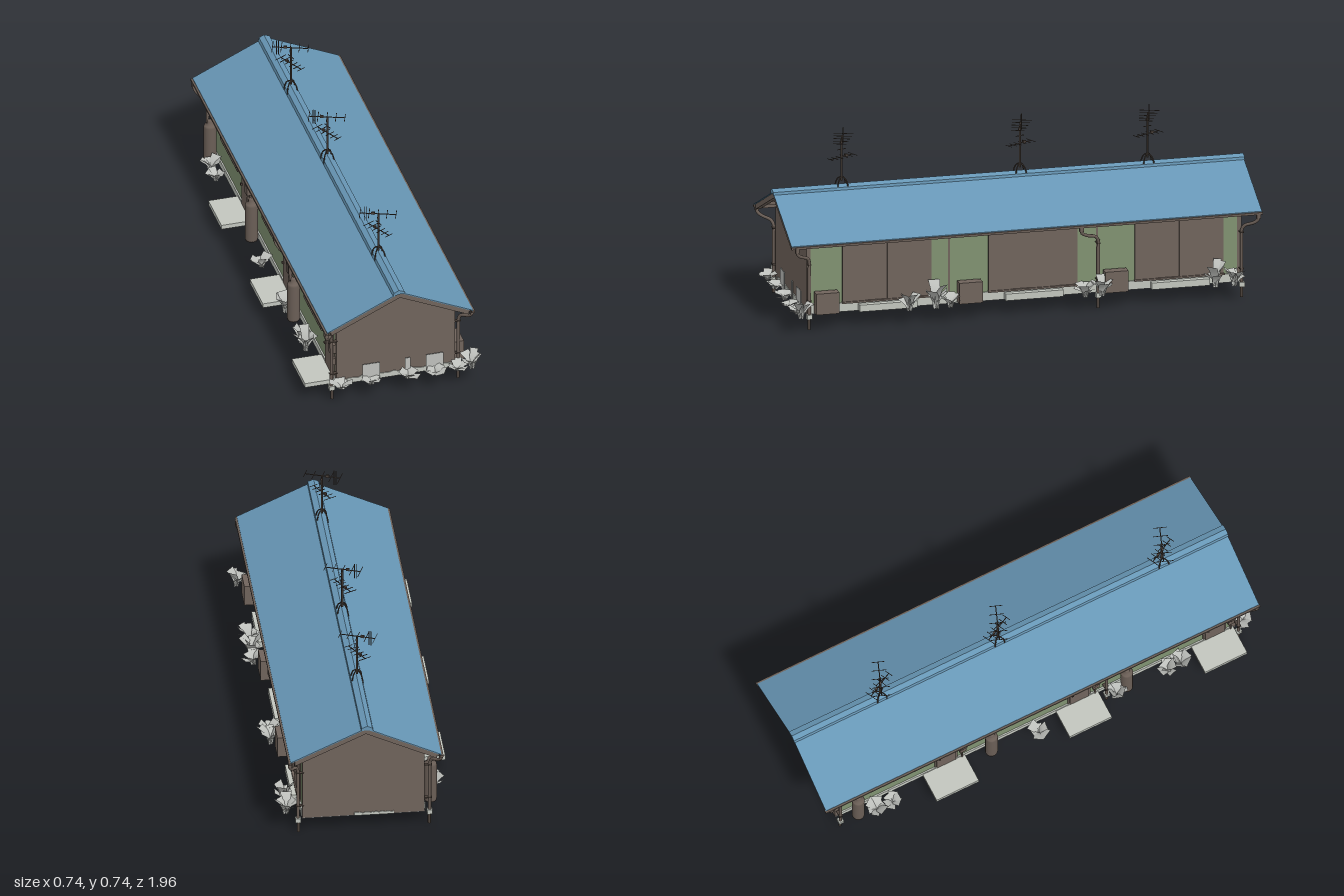
import * as THREE from 'three';

const mat = (name, color, side = THREE.FrontSide) => {
  const m = new THREE.MeshStandardMaterial({ color, side });
  m.name = name;
  return m;
};

export function createModel() {
  const M = {
    roof: mat('roof blue', 0x6796b5),
    wall: mat('wall brown', 0x70645c),
    green: mat('panel green', 0x809271),
    concrete: mat('pale concrete', 0xc2c6be),
    leaf: mat('leaf grey', 0xbec0bc, THREE.DoubleSide),
    floor: mat('floor grey', 0xa0a0a0),
    metal: mat('dark metal', 0x4c423b),
    pipe: mat('pipe brown', 0x6a5e56),
  };
  const root = new THREE.Group();
  root.name = 'rowHouse';

  const add = (name, geo, m, parent = root) => {
    const mesh = new THREE.Mesh(geo, m);
    mesh.name = name;
    parent.add(mesh);
    return mesh;
  };
  const group = (name, parent = root) => {
    const g = new THREE.Group();
    g.name = name;
    parent.add(g);
    return g;
  };
  // Box given by its limits
  const box = (name, m, x0, x1, y0, y1, z0, z1, parent) => {
    const b = add(name, new THREE.BoxGeometry(x1 - x0, y1 - y0, z1 - z0), m, parent);
    b.position.set((x0 + x1) / 2, (y0 + y1) / 2, (z0 + z1) / 2);
    return b;
  };
  // Prism along z from an outline in x and y
  const prism = (name, m, pts, z0, z1, parent) => {
    const shape = new THREE.Shape(pts.map(p => new THREE.Vector2(...p)));
    const geo = new THREE.ExtrudeGeometry(shape, { depth: z1 - z0, bevelEnabled: false });
    return add(name, geo.translate(0, 0, z0), m, parent);
  };
  const V = (x, y, z) => new THREE.Vector3(x, y, z);
  const rod = (name, m, a, b, r, parent) => {
    const mesh = add(name, new THREE.CylinderGeometry(r, r, a.distanceTo(b), 8), m, parent);
    mesh.position.copy(a).add(b).multiplyScalar(0.5);
    mesh.quaternion.setFromUnitVectors(V(0, 1, 0), b.clone().sub(a).normalize());
    return mesh;
  };
  // Seeded random numbers
  let seed = 11;
  const rand = (lo, hi) => {
    seed = (seed * 16807) % 2147483647;
    return lo + ((hi - lo) * seed) / 2147483647;
  };

  // Shell: floor, green long walls, brown gable ends
  const shell = group('shell');
  box('floor', M.floor, -0.247, 0.25, 0.06, 0.066, -0.912, 0.892, shell);
  box('longWalls', M.green, -0.244, 0.247, 0.066, 0.37, -0.9, 0.88, shell);
  const gable = [[-0.245, 0.064], [0.25, 0.064], [0.25, 0.368], [0, 0.49], [-0.245, 0.368]];
  prism('frontGable', M.wall, gable, 0.875, 0.893, shell);
  prism('backGable', M.wall, gable, -0.914, -0.896, shell);
  box('foundationRight', M.concrete, 0.24, 0.253, 0.062, 0.097, -0.895, 0.874, shell);
  box('foundationLeft', M.concrete, -0.25, -0.24, 0.062, 0.09, -0.895, 0.874, shell);
  // Ragged pale footing showing at the foot of the gables
  const ragged = (x0, x1, height, z) => {
    const pts = [[x1, 0.062], [x0, 0.062]];
    for (let i = 0; i <= 24; i++)
      pts.push([x0 + ((x1 - x0) * i) / 24, 0.064 + height * rand(0.6, 1)]);
    prism('raggedFooting', M.concrete, pts, z, z + 0.004, shell);
  };
  ragged(-0.21, 0.235, 0.028, 0.892);
  ragged(-0.12, 0.04, 0.013, -0.917);

  // Roof: thin blue skin over a brown deck, with barge boards, purlins, ridge cap and gutters
  const roof = group('roof');
  const vee = (w, eave, apex, t) => [
    [-w, eave], [0, apex], [w, eave], [w, eave - t], [0, apex - t], [-w, eave - t],
  ].reverse();
  prism('roofSkin', M.roof, vee(0.305, 0.366, 0.507, 0.004), -0.985, 0.968, roof);
  prism('roofDeck', M.wall, vee(0.296, 0.3665, 0.503, 0.01), -0.98, 0.963, roof);
  for (const z of [-0.982, 0.945])
    prism('bargeBoard', M.wall, vee(0.288, 0.369, 0.502, 0.022), z, z + 0.02, roof);
  prism('ridgeCap', M.roof, [[-0.03, 0.494], [0, 0.5], [0.02, 0.496], [0.018, 0.509], [-0.006, 0.518], [-0.026, 0.508]],
    -0.987, 0.97, roof);
  for (const s of [-1, 1]) {
    for (const x of [0.08, 0.16, 0.24]) {
      const y = 0.488 - x * 0.462;
      for (const [z0, z1] of [[-0.965, -0.91], [0.89, 0.95]])
        box('purlin', M.wall, s * x - 0.01, s * x + 0.01, y - 0.009, y + 0.007, z0, z1, roof);
    }
    box('gutter', M.pipe, s * 0.306 - 0.007, s * 0.306 + 0.007, 0.354, 0.363, -0.988, 0.97, roof);
  }

  // Garden side: sliding doors with a step, and a cooling unit for each home
  const garden = group('gardenSide');
  for (const z of [0.558, -0.048, -0.655]) {
    const doors = group('slidingDoors', garden);
    for (let i = 0; i < 4; i++) {
      const z0 = z - 0.185 + i * 0.0925;
      box('doorPanel', M.wall, 0.24, i % 2 ? 0.255 : 0.251, 0.1, 0.358, z0, z0 + 0.0925, doors);
    }
    box('doorSill', M.wall, 0.24, 0.26, 0.095, 0.102, z - 0.187, z + 0.187, doors);
    box('doorStep', M.concrete, 0.245, 0.278, 0.062, 0.09, z - 0.12, z + 0.12, doors);
  }
  for (const z of [0.815, 0.22, -0.385])
    box('coolingUnit', M.wall, 0.255, 0.297, 0.068, 0.156, z - 0.048, z + 0.048, garden);
  for (const z of [0.3, -0.315])
    box('partyWallSeam', M.wall, 0.245, 0.249, 0.097, 0.358, z - 0.004, z + 0.004, garden);

  // Entrance side: door, slab, window with awning, gas bottle and meters for each home
  const entrance = group('entranceSide');
  const bottle = [[0, 0], [0.025, 0], [0.026, 0.008], [0.026, 0.165], [0.023, 0.174], [0.013, 0.178],
    [0.012, 0.192], [0.009, 0.198], [0, 0.198]].map(p => new THREE.Vector2(...p));
  for (const z of [-0.425, 0.175, 0.785]) {
    const home = group('entrance', entrance);
    box('entranceSlab', M.concrete, -0.373, -0.244, 0.062, 0.081, z - 0.095, z + 0.095, home);
    box('doorFrame', M.wall, -0.248, -0.24, 0.081, 0.312, z - 0.04, z + 0.062, home);
    box('frontDoor', M.wall, -0.252, -0.24, 0.083, 0.303, z - 0.032, z + 0.054, home);
    box('doorKnob', M.metal, -0.26, -0.25, 0.18, 0.19, z - 0.026, z - 0.018, home);
    const wz = z - 0.22;
    box('windowFrame', M.wall, -0.251, -0.24, 0.195, 0.322, wz - 0.125, wz + 0.125, home);
    box('windowShutter', M.wall, -0.254, -0.24, 0.203, 0.315, wz - 0.117, wz + 0.117, home);
    const awning = box('awning', M.roof, -0.297, -0.243, 0.328, 0.333, wz - 0.13, wz + 0.13, home);
    awning.rotation.z = 0.06;
    const tank = add('gasBottle', new THREE.LatheGeometry(bottle, 20), M.pipe, home);
    tank.position.set(-0.278, 0.064, z - 0.4);
    box('waterHeater', M.pipe, -0.268, -0.243, 0.205, 0.245, z + 0.066, z + 0.098, home);
    box('meter', M.pipe, -0.26, -0.243, 0.15, 0.18, z + 0.068, z + 0.096, home);
    rod('meterPipe', M.pipe, V(-0.25, 0.062, z + 0.082), V(-0.25, 0.21, z + 0.082), 0.004, home);
  }

  // Downpipes: gutter outlet, bent pipe, drain box and ground stub
  const downpipe = (s, z, zTop) => {
    const g = group('downpipe');
    const path = new THREE.CatmullRomCurve3([
      V(s * 0.306, 0.36, zTop), V(s * 0.306, 0.335, zTop), V(s * 0.297, 0.319, zTop + (z - zTop) * 0.25),
      V(s * 0.275, 0.302, zTop + (z - zTop) * 0.85), V(s * 0.268, 0.282, z), V(s * 0.267, 0.25, z), V(s * 0.267, 0.055, z),
    ], false, 'centripetal');
    add('bentPipe', new THREE.TubeGeometry(path, 36, 0.0068, 8), M.pipe, g);
    box('outlet', M.pipe, s * 0.306 - 0.008, s * 0.306 + 0.008, 0.338, 0.36, zTop - 0.008, zTop + 0.008, g);
    box('drainBox', M.concrete, s * 0.267 - 0.011, s * 0.267 + 0.011, 0.045, 0.064, z - 0.011, z + 0.011, g);
    rod('groundStub', M.metal, V(s * 0.265, 0, z), V(s * 0.265, 0.046, z), 0.0065, g);
    for (const y of [0.12, 0.273])
      box('pipeBracket', M.metal, s * 0.26 - 0.016, s * 0.26 + 0.016, y - 0.0015, y + 0.0015, z - 0.008, z + 0.008, g);
  };
  for (const [z, zTop] of [[0.885, 0.945], [-0.315, -0.235], [-0.91, -0.97]]) {
    downpipe(1, z, zTop);
    downpipe(-1, -z - 0.015, -zTop - 0.015);
  }

  // Aerials: hooped foot, mast and two finned booms
  const boom = (parent, y, angle, a, b, half, n) => {
    const g = group('boom', parent);
    rod('boomBar', M.metal, V(a, 0, 0), V(b, 0, 0), 0.002, g);
    for (let i = 0; i < n; i++) {
      const x = a + ((b - a) * i) / (n - 1);
      const h = half * (1 - (0.4 * i) / n);
      rod('boomFin', M.metal, V(x, 0, -h), V(x, 0, h), 0.0014, g);
    }
    box('boomClamp', M.metal, -0.03, -0.016, -0.003, 0.007, -0.004, 0.004, g);
    g.position.y = y;
    g.rotation.y = angle;
    return g;
  };
  for (const z of [0.68, -0.06, -0.59]) {
    const g = group('aerial');
    g.position.set(-0.007, 0, z);
    rod('mast', M.metal, V(0, 0.53, 0), V(0, 0.706, 0), 0.0042, g);
    for (const angle of [Math.PI / 4, -Math.PI / 4]) {
      const hoop = new THREE.CatmullRomCurve3([V(-0.03, 0.495, 0), V(-0.029, 0.515, 0), V(-0.018, 0.538, 0),
        V(0, 0.547, 0), V(0.018, 0.538, 0), V(0.029, 0.515, 0), V(0.03, 0.495, 0)]);
      add('footHoop', new THREE.TubeGeometry(hoop, 24, 0.0028, 6), M.metal, g).rotation.y = angle;
    }
    const top = boom(g, 0.705, -0.36, -0.075, 0.07, 0.04, 5);
    for (const x of [-0.058, -0.05])
      rod('uprightFin', M.metal, V(x, -0.034, 0), V(x, 0.031, 0), 0.0018, top);
    boom(g, 0.63, -1.1, -0.06, 0.06, 0.028, 6);
    rod('crossBar', M.metal, V(-0.006, 0.662, -0.018), V(0.006, 0.662, 0.018), 0.0018, g);
  }

  // Plants: clumps of broad bent leaves, wider towards the tip
  const plant = (x, z, height, reach, n = 6) => {
    const g = group('plant');
    g.position.set(x, 0.063, z);
    for (let i = 0; i < n; i++) {
      const geo = new THREE.PlaneGeometry(1, 1, 1, 3);
      const p = geo.attributes.position;
      const h = height * rand(0.5, 1), r = reach * rand(0.6, 1), w = rand(0.028, 0.046);
      for (let k = 0; k < p.count; k++) {
        const t = p.getY(k) + 0.5;
        p.setXYZ(k, p.getX(k) * w * (0.5 + 0.6 * t), h * t * (1.35 - 0.35 * t), r * t * t);
      }
      geo.computeVertexNormals();
      add('leaf', geo, M.leaf, g).rotation.y = (i / n) * Math.PI * 2 + rand(-0.3, 0.3);
    }
  };
  // Front row, with some broad upright leaves against the wall
  for (const x of [-0.235, -0.11, 0.045, 0.16, 0.25]) plant(x, 0.93, 0.036, 0.048);
  for (const [x, w] of [[-0.102, 0.036], [0.05, 0.011], [0.163, 0.036]])
    box('broadLeaf', M.leaf, x - w, x + w, 0.064, 0.143, 0.9, 0.903);
  // Garden side
  for (const [z, h] of [[0.93, 0.08], [0.48, 0.08], [0.37, 0.11], [0.31, 0.07], [-0.25, 0.075], [-0.32, 0.09], [-0.79, 0.11], [-0.87, 0.08]])
    plant(0.312, z, h, 0.05, 7);
  // Entrance side
  for (const [z, h] of [[0.62, 0.11], [0.56, 0.08], [0.33, 0.09], [-0.02, 0.06], [-0.68, 0.06], [-0.75, 0.08]])
    plant(-0.295, z, h, 0.045);

  return root;
}
